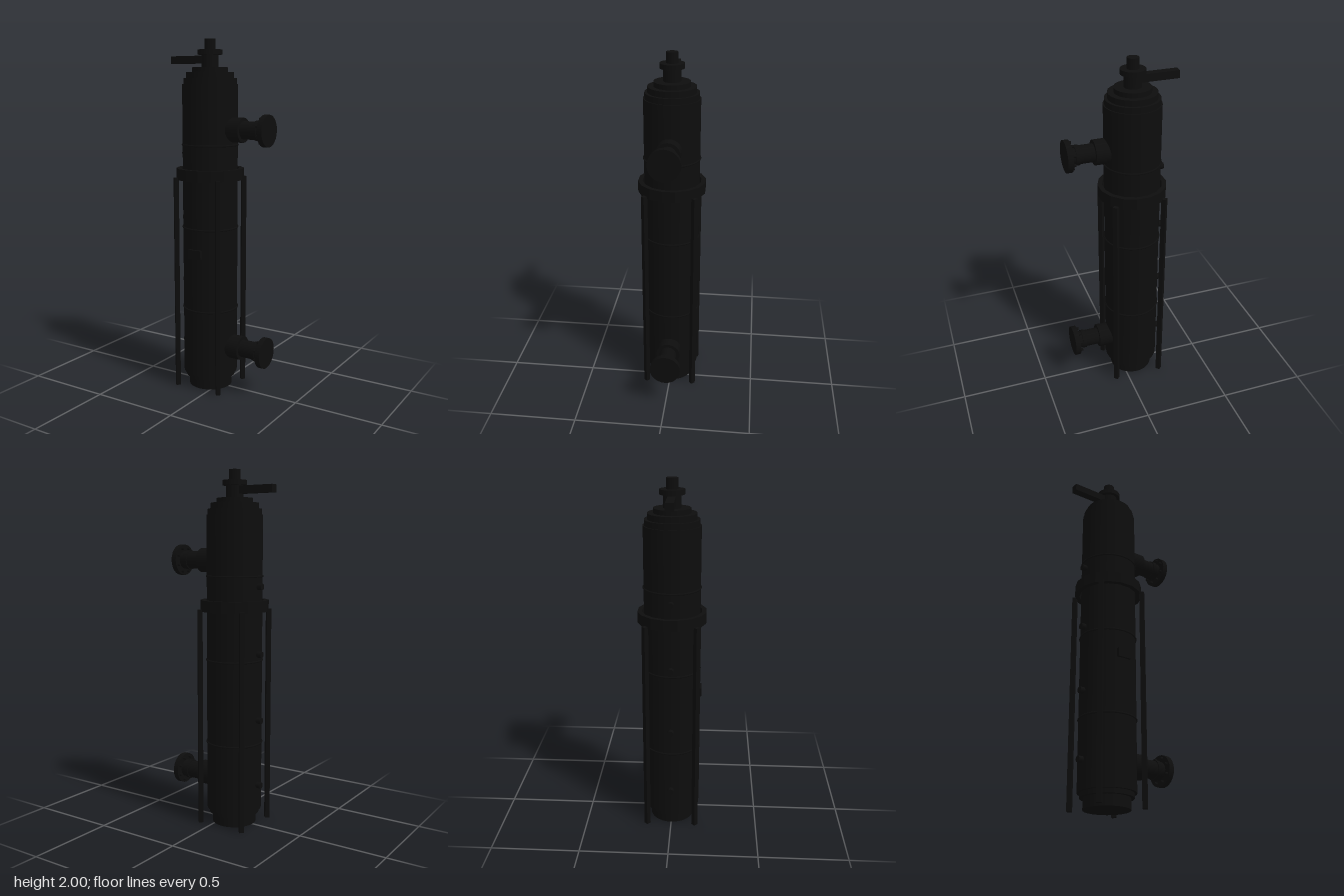
import * as THREE from 'three';

const AXIS_X = -0.065;

export function createModel() {
  const model = new THREE.Group();
  model.name = 'pressureVessel';
  const black = new THREE.MeshStandardMaterial({ color: 0x0d0d0d });
  black.name = 'black paint';

  const vessel = new THREE.Group();
  vessel.name = 'vessel';
  vessel.position.x = AXIS_X;
  model.add(vessel);

  const add = (parent, name, geometry, x = 0, y = 0, z = 0) => {
    const mesh = new THREE.Mesh(geometry, black);
    mesh.name = name;
    mesh.position.set(x, y, z);
    parent.add(mesh);
    return mesh;
  };
  // Upright cylinder between two heights
  const drum = (name, r, y0, y1, sides = 32) =>
    add(vessel, name, new THREE.CylinderGeometry(r, r, y1 - y0, sides), 0, (y0 + y1) / 2, 0);
  // Cylinder lying along x between two distances
  const pipe = (parent, name, r, x0, x1, y = 0, z = 0, sides = 24) => {
    const geometry = new THREE.CylinderGeometry(r, r, x1 - x0, sides).rotateZ(-Math.PI / 2);
    return add(parent, name, geometry, (x0 + x1) / 2, y, z);
  };

  // Shell, base and stepped head
  drum('skirt', 0.125, 0, 0.09);
  drum('lowerStep', 0.143, 0.06, 0.1);
  drum('shell', 0.156, 0.085, 1.756);
  drum('headStep', 0.149, 1.75, 1.788);
  drum('headStep', 0.133, 1.78, 1.82);
  drum('headStep', 0.1, 1.81, 1.846);
  drum('neck', 0.048, 1.84, 1.92, 20);
  drum('valveDisc', 0.068, 1.915, 1.942, 20);
  drum('valveTip', 0.032, 1.94, 2, 16);
  add(vessel, 'lever', new THREE.BoxGeometry(0.22, 0.042, 0.044), -0.14, 1.889, 0);

  // Weld seams
  for (const y of [0.475, 0.95, 1.42]) {
    add(vessel, 'weldSeam', new THREE.TorusGeometry(0.156, 0.006, 6, 32).rotateX(Math.PI / 2), 0, y, 0);
  }

  // Sixteen-sided support collar, open around the shell
  const ringShape = [[0.166, 1.225], [0.1915, 1.225], [0.1915, 1.288], [0.166, 1.288], [0.166, 1.225]]
    .map(([r, y]) => new THREE.Vector2(r, y));
  const collar = new THREE.LatheGeometry(ringShape, 16).toNonIndexed();
  collar.computeVertexNormals();
  add(vessel, 'supportCollar', collar).rotation.y = Math.PI / 16;

  // Legs on the diagonals
  for (let i = 0; i < 4; i++) {
    const a = Math.PI / 4 + i * Math.PI / 2;
    const leg = add(vessel, 'leg', new THREE.BoxGeometry(0.026, 1.235, 0.026),
      Math.cos(a) * 0.197, 0.6175, Math.sin(a) * 0.197);
    leg.rotation.y = -a;
  }

  // Small side fittings
  for (const y of [0.24, 0.615, 0.99, 1.365]) {
    pipe(vessel, 'gaugePort', 0.018, -0.182, -0.14, y, 0, 12);
  }
  add(vessel, 'namePlate', new THREE.BoxGeometry(0.08, 0.05, 0.02), 0, 0.812, 0.157);

  // Flanged nozzles
  for (const y of [0.252, 1.506]) {
    const nozzle = new THREE.Group();
    nozzle.name = 'nozzle';
    nozzle.position.y = y;
    model.add(nozzle);
    pipe(nozzle, 'reinforcement', 0.069, 0.04, 0.154);
    pipe(nozzle, 'nozzlePipe', 0.05, 0.06, 0.29);
    pipe(nozzle, 'neckRing', 0.055, 0.235, 0.258);
    pipe(nozzle, 'flange', 0.088, 0.282, 0.312);
    for (let i = 0; i < 8; i++) {
      const a = i * Math.PI / 4 + Math.PI / 8;
      pipe(nozzle, 'bolt', 0.008, 0.266, 0.285, Math.sin(a) * 0.07, Math.cos(a) * 0.07, 6);
    }
  }
  return model;
}
